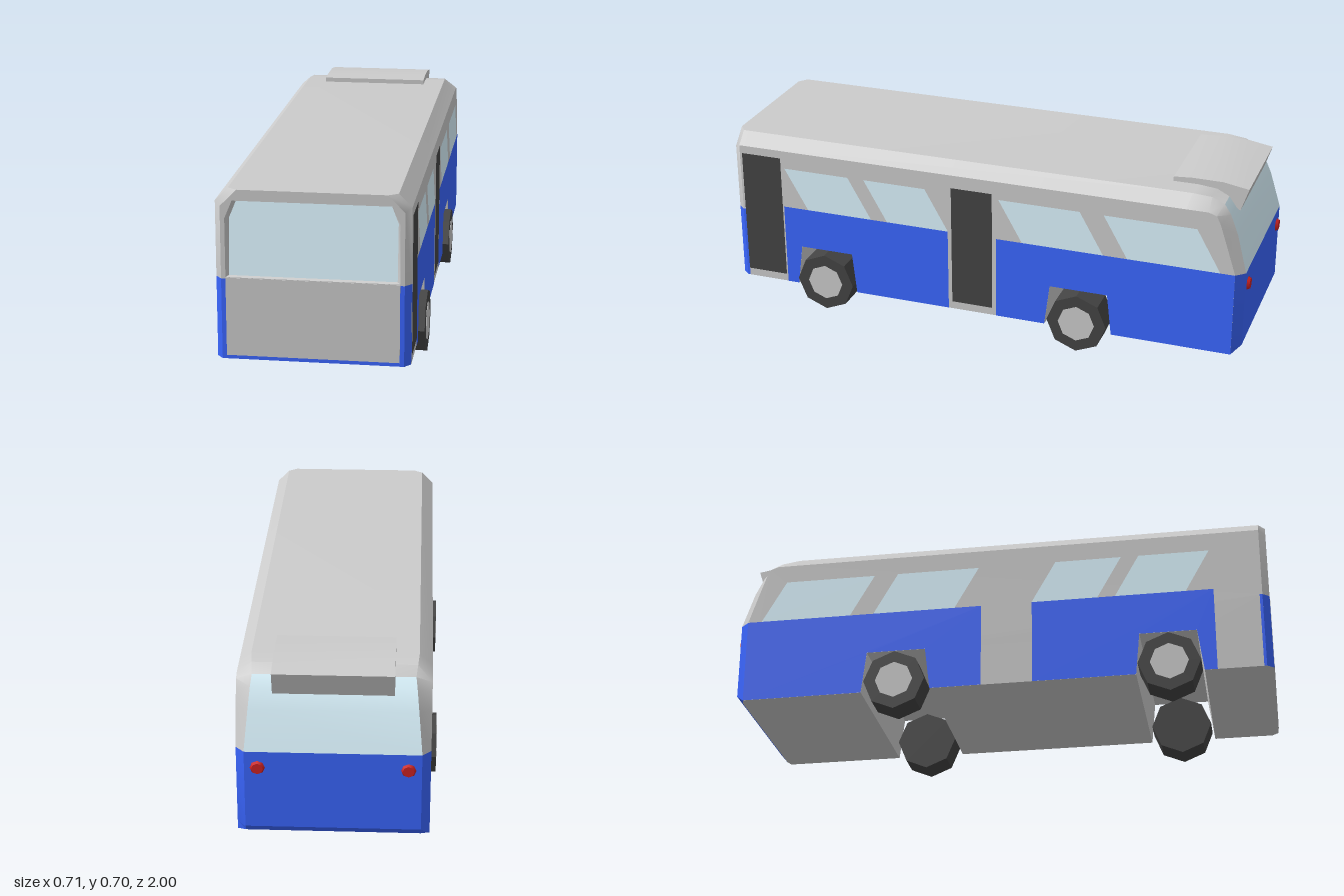
import * as THREE from 'three';
import { toCreasedNormals } from 'three/addons/utils/BufferGeometryUtils.js';

const mat = (color, side = THREE.FrontSide) => new THREE.MeshStandardMaterial({ color, side });
const GREY = mat(0xcccccc), BLUE = mat(0x3a66ff), GLASS = mat(0xdcf5ff), BLACK = mat(0x444444), RED = mat(0xcc2222);

const HALF = 0.33; // half width of the body

// Body outline: side wall edge [z, y], inner edge [x, z, y], corner and centre materials
// of the strip that leads to the next point (null leaves it open).
const OUTLINE = [
  [[0.975, 0.08], [0.309, 1, 0.08], BLUE, BLUE],
  [[0.975, 0.365], [0.309, 1, 0.365], GREY, null],
  [[0.975, 0.63], [0.309, 1, 0.617], GREY, null],
  [[0.975, 0.63], [0.252, 1, 0.675], GREY, GREY],
  [[0.975, 0.63], [0.285, 0.975, 0.675], GREY, GREY],
  [[-0.77, 0.63], [0.285, -0.78, 0.675], GREY, GREY],
  [[-0.85, 0.63], [0.28, -0.85, 0.668], GREY, GREY],
  [[-0.88, 0.62], [0.275, -0.895, 0.645], GREY, GLASS],
  [[-0.895, 0.59], [0.28, -0.92, 0.61], GREY, GLASS],
  [[-0.915, 0.53], [0.287, -0.95, 0.54], GREY, GLASS],
  [[-0.957, 0.4], [0.3, -0.99, 0.4], BLUE, BLUE],
  [[-0.957, 0.11], [0.3, -0.99, 0.11], BLUE, BLUE],
  [[-0.957, 0.08], [0.3, -0.965, 0.08], GREY, GREY],
];
const REAR_ARCH = [[-0.508, 0.08], [-0.49, 0.24], [-0.27, 0.24], [-0.25, 0.08]];
const FRONT_ARCH = [[0.508, 0.08], [0.524, 0.24], [0.733, 0.24], [0.754, 0.08]];
for (const p of [...REAR_ARCH, ...FRONT_ARCH]) OUTLINE.push([p, [HALF, ...p], GREY, GREY]);

function add(parent, name, geometry, material) {
  const mesh = new THREE.Mesh(geometry, material);
  mesh.name = name;
  parent.add(mesh);
  return mesh;
}

const shapeOf = (pts) => new THREE.Shape(pts.map(([x, y]) => new THREE.Vector2(x, y)));

// Flat panel on a side wall from [z, y] corners; s = 1 is left, -1 is right
function sidePanel(parent, name, pts, s, material, lift = 0) {
  const geo = new THREE.ShapeGeometry(shapeOf(pts.map(([z, y]) => [-s * z, y])));
  geo.rotateY(s * Math.PI / 2).translate(s * (HALF + lift), 0, 0);
  return add(parent, name, geo, material);
}

// Geometry from a list of quads, skipping collapsed triangles
function quads(list) {
  const pos = [], tri = new THREE.Triangle();
  for (const [a, b, c, d] of list) {
    for (const t of [[a, b, c], [a, c, d]]) {
      const v = t.map((p) => new THREE.Vector3(...p));
      if (tri.set(...v).getArea() > 1e-8) v.forEach((p) => pos.push(p.x, p.y, p.z));
    }
  }
  const geo = new THREE.BufferGeometry();
  geo.setAttribute('position', new THREE.Float32BufferAttribute(pos, 3));
  return toCreasedNormals(geo, 0.6);
}

// Bevelled shell: centre strip across the body, corner strips to both side walls
function buildShell(parent) {
  const strips = new Map([[GREY, []], [BLUE, []], [GLASS, []]]);
  OUTLINE.forEach(([a0, b0, corner, centre], i) => {
    const [a1, b1] = OUTLINE[(i + 1) % OUTLINE.length];
    const wall = (a, s) => [s * HALF, a[1], a[0]];
    const inner = (b, s) => [s * b[0], b[2], b[1]];
    for (const s of [1, -1]) {
      const q = [wall(a0, s), wall(a1, s), inner(b1, s), inner(b0, s)];
      strips.get(corner).push(s > 0 ? q : q.reverse());
    }
    if (centre) strips.get(centre).push([inner(b0, 1), inner(b1, 1), inner(b1, -1), inner(b0, -1)]);
  });
  add(parent, 'bodyShell', quads(strips.get(GREY)), GREY);
  add(parent, 'lowerBodyShell', quads(strips.get(BLUE)), BLUE);
  add(parent, 'rearWindow', quads(strips.get(GLASS)), GLASS);
}

// Side wall with blue skirts, slanted windows and, on the left, doors
function buildSide(parent, s) {
  const side = new THREE.Group();
  side.name = s > 0 ? 'leftSide' : 'rightSide';
  parent.add(side);
  const edge = OUTLINE.map(([a]) => a)
    .filter((p, i, all) => !i || p[0] !== all[i - 1][0] || p[1] !== all[i - 1][1]);
  sidePanel(side, 'sideWall', edge, s, GREY);

  const skirt = (z0, z1, arch) => [[z0, 0.08], ...arch, [z1, 0.08], [z1, 0.4], [z0, 0.4]];
  sidePanel(side, 'frontSkirt', skirt(0.13, 0.8, FRONT_ARCH), s, BLUE, 0.001);
  sidePanel(side, 'rearSkirt', skirt(-0.957, -0.06, REAR_ARCH), s, BLUE, 0.001);
  sidePanel(side, 'cornerTrim', [[0.965, 0.08], [0.975, 0.08], [0.975, 0.365], [0.965, 0.365]], s, BLUE, 0.001);

  // front and rear ends of each window's top edge
  for (const [z0, z1] of [[0.79, 0.53], [0.465, 0.22], [-0.07, -0.38], [-0.47, -0.813]]) {
    sidePanel(side, 'sideWindow', [[z0, 0.56], [z1, 0.56], [z1 - 0.091, 0.4], [z0 - 0.091, 0.4]], s, GLASS, 0.001);
  }
  if (s > 0) {
    for (const [name, z0, z1, top] of [['middleDoor', -0.045, 0.115, 0.58], ['frontDoor', 0.805, 0.965, 0.6]]) {
      sidePanel(side, name, [[z0, 0.11], [z1, 0.11], [z1, top], [z0, top]], s, BLACK, 0.002);
    }
  }
}

// Front face with a recessed, leaning windscreen and a lower panel
function buildFront(parent) {
  const mirrored = (half) => [...half, ...half.map(([x, y]) => [-x, y]).reverse()];
  const face = shapeOf(mirrored([[0.309, 0.365], [0.309, 0.617], [0.252, 0.675]]));
  const frame = mirrored([[0.294, 0.37], [0.294, 0.575], [0.268, 0.637]]);
  const pane = mirrored([[0.284, 0.374], [0.284, 0.57], [0.26, 0.63]]);
  const depth = (y) => 0.988 - (y - 0.374) * 0.1;
  face.holes.push(shapeOf(frame));
  add(parent, 'windscreenFrame', new THREE.ShapeGeometry(face).translate(0, 0, 1), GREY);

  const reveal = frame.map((f, i) => {
    const j = (i + 1) % frame.length;
    const back = ([x, y]) => [x, y, depth(y)];
    return [[...f, 1], [...frame[j], 1], back(pane[j]), back(pane[i])];
  });
  add(parent, 'windscreenReveal', quads(reveal), GREY);

  const glass = new THREE.ShapeGeometry(shapeOf(pane));
  const p = glass.attributes.position;
  for (let i = 0; i < p.count; i++) p.setZ(i, depth(p.getY(i)));
  glass.computeVertexNormals();
  add(parent, 'windscreen', glass, GLASS);

  add(parent, 'frontPanel', new THREE.BoxGeometry(0.588, 0.275, 0.004), GREY).position.set(0, 0.2305, 0.9995);
}

// Eight-sided wheel with a hub plate on the outer face
function buildWheel(parent, s, z) {
  const wheel = new THREE.Group();
  wheel.name = 'wheel';
  wheel.position.set(s * 0.3, 0.114, z);
  parent.add(wheel);
  const disc = (r, w) => toCreasedNormals(
    new THREE.CylinderGeometry(r, r, w, 8).rotateZ(Math.PI / 2), 0.3);
  add(wheel, 'tyre', disc(0.114, 0.106), BLACK);
  add(wheel, 'hub', disc(0.07, 0.004), GREY).position.x = s * 0.0525;
}

export function createModel() {
  const bus = new THREE.Group();
  bus.name = 'bus';
  buildShell(bus);
  buildFront(bus);
  for (const s of [1, -1]) {
    buildSide(bus, s);
    for (const z of [0.63, -0.38]) buildWheel(bus, s, z);
    // tail lights
    const lamp = new THREE.CylinderGeometry(0.02, 0.028, 0.014, 8).rotateX(-Math.PI / 2);
    add(bus, 'tailLight', lamp, RED).position.set(s * 0.255, 0.34, -0.993);
  }

  // roof unit overhanging the rear window
  const unit = shapeOf([[-0.69, 0.672], [-0.69, 0.692], [-0.76, 0.697], [-0.87, 0.696],
    [-0.965, 0.68], [-0.937, 0.595], [-0.87, 0.645]]);
  const geo = new THREE.ExtrudeGeometry(unit, { depth: 0.41, bevelEnabled: false });
  geo.rotateY(-Math.PI / 2).translate(0.205, 0, 0);
  add(bus, 'roofUnit', toCreasedNormals(geo, 0.3), GREY);
  return bus;
}
